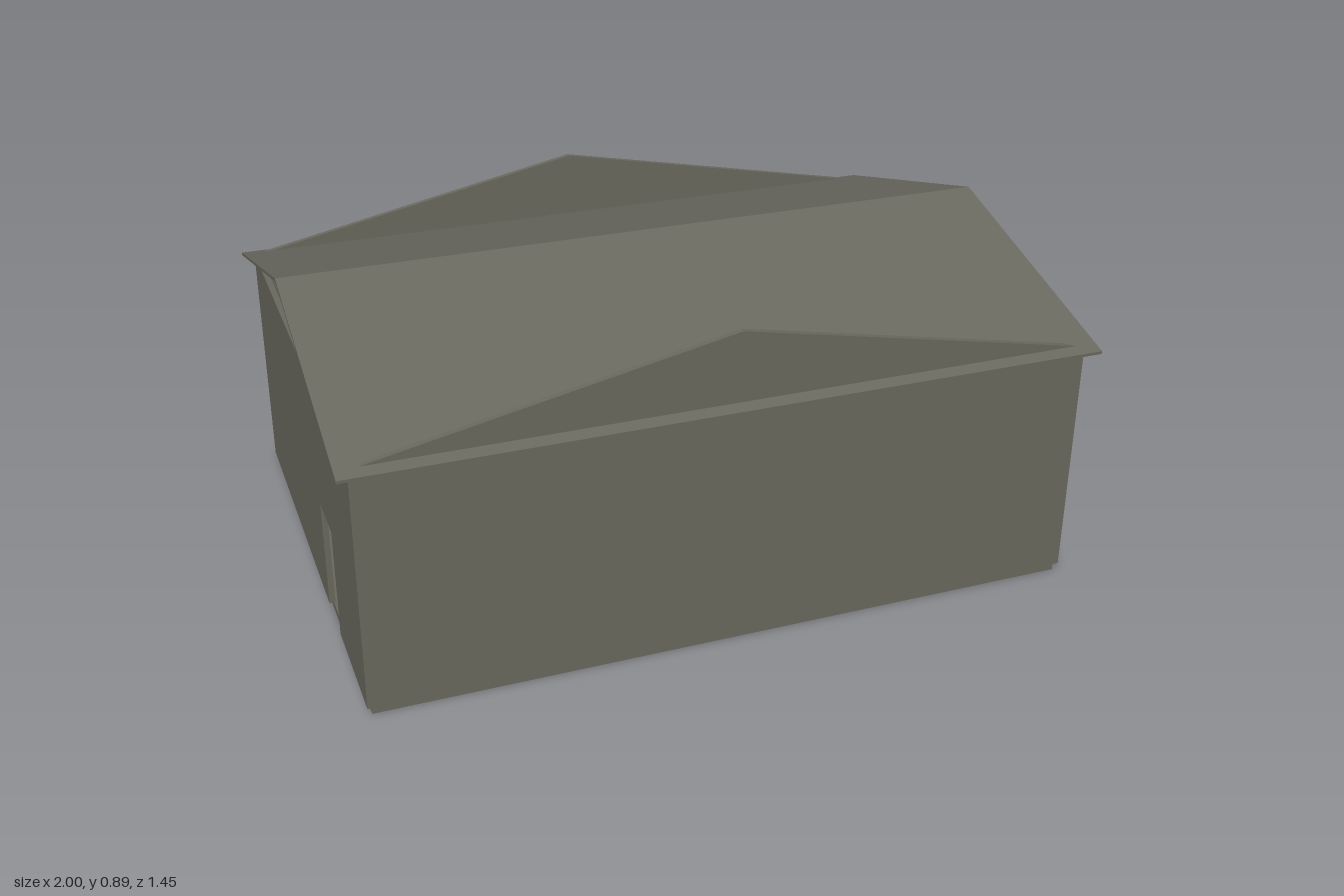
import * as THREE from 'three';

const HALF_X = 0.968, HALF_Z = 0.693, BASE = 0.022, WALL_TOP = 0.685, THICK = 0.016;
const DOOR_IN = 0.205, DOOR_OUT = 0.757, DOOR_TOP = 0.533;

export function createModel() {
  const barn = new THREE.Group();
  barn.name = 'shed';

  const grey = new THREE.MeshStandardMaterial({ color: 0x69695f });
  grey.name = 'grey cladding';
  const slate = new THREE.MeshStandardMaterial({ color: 0x3b424a });
  slate.name = 'slate blue door';

  const add = (name, geometry, material) => {
    const mesh = new THREE.Mesh(geometry, material);
    mesh.name = name;
    barn.add(mesh);
    return mesh;
  };
  // Box given by its lower and upper limits
  const box = (name, material, x0, x1, y0, y1, z0, z1) => {
    const mesh = add(name, new THREE.BoxGeometry(x1 - x0, y1 - y0, z1 - z0), material);
    mesh.position.set((x0 + x1) / 2, (y0 + y1) / 2, (z0 + z1) / 2);
    return mesh;
  };
  const extrude = (points, depth) => new THREE.ExtrudeGeometry(
    new THREE.Shape(points.map(([x, y]) => new THREE.Vector2(x, y))),
    { depth, bevelEnabled: false });
  // Wall outline with doorways notched up from its foot: [start, end, top]
  const wall = (half, doorways) => {
    const points = [[-half, BASE]];
    for (const [a, b, top] of doorways) points.push([a, BASE], [a, top], [b, top], [b, BASE]);
    points.push([half, BASE], [half, WALL_TOP], [-half, WALL_TOP]);
    return extrude(points, THICK);
  };

  // Floor slab
  box('floorSlab', grey, -0.956, 0.956, 0, BASE, -0.686, 0.686);

  // Front and back walls
  add('frontWall', wall(HALF_X, []), grey).position.z = HALF_Z - THICK;
  add('backWall', wall(HALF_X, [
    [-DOOR_OUT, -DOOR_IN, DOOR_TOP],
    [DOOR_IN, DOOR_OUT, DOOR_TOP],
  ]), grey).position.z = -HALF_Z;

  // Side walls fit between them; local +x runs along -z after turning
  const innerZ = HALF_Z - THICK;
  const sides = [['leftWall', HALF_X - THICK, []], ['rightWall', -HALF_X, [[-0.355, -0.203, 0.33]]]];
  for (const [name, x, doorways] of sides) {
    const mesh = add(name, wall(innerZ, doorways), grey);
    mesh.rotation.y = Math.PI / 2;
    mesh.position.x = x;
  }

  // Roller doors: one shut, one partly raised
  box('closedDoor', slate, -DOOR_OUT, -DOOR_IN, BASE, DOOR_TOP, -0.698, -0.682);
  box('raisedDoor', slate, DOOR_IN, DOOR_OUT, 0.35, DOOR_TOP, -0.698, -0.682);

  // Roof: one folded sheet, open at both gable ends
  const roof = add('roof', extrude([
    [-0.726, 0.673], [0, 0.877], [0.726, 0.673],
    [0.726, 0.681], [0, 0.886], [-0.726, 0.681],
  ], 2), grey);
  roof.rotation.y = Math.PI / 2;
  roof.position.x = -1;

  // Triangular parapets standing above the front and back eaves
  for (const [name, z] of [['frontParapet', HALF_Z - THICK], ['backParapet', -HALF_Z]]) {
    add(name, extrude([[-HALF_X, WALL_TOP], [HALF_X, WALL_TOP], [0, 0.88]], THICK), grey).position.z = z;
  }

  return barn;
}
